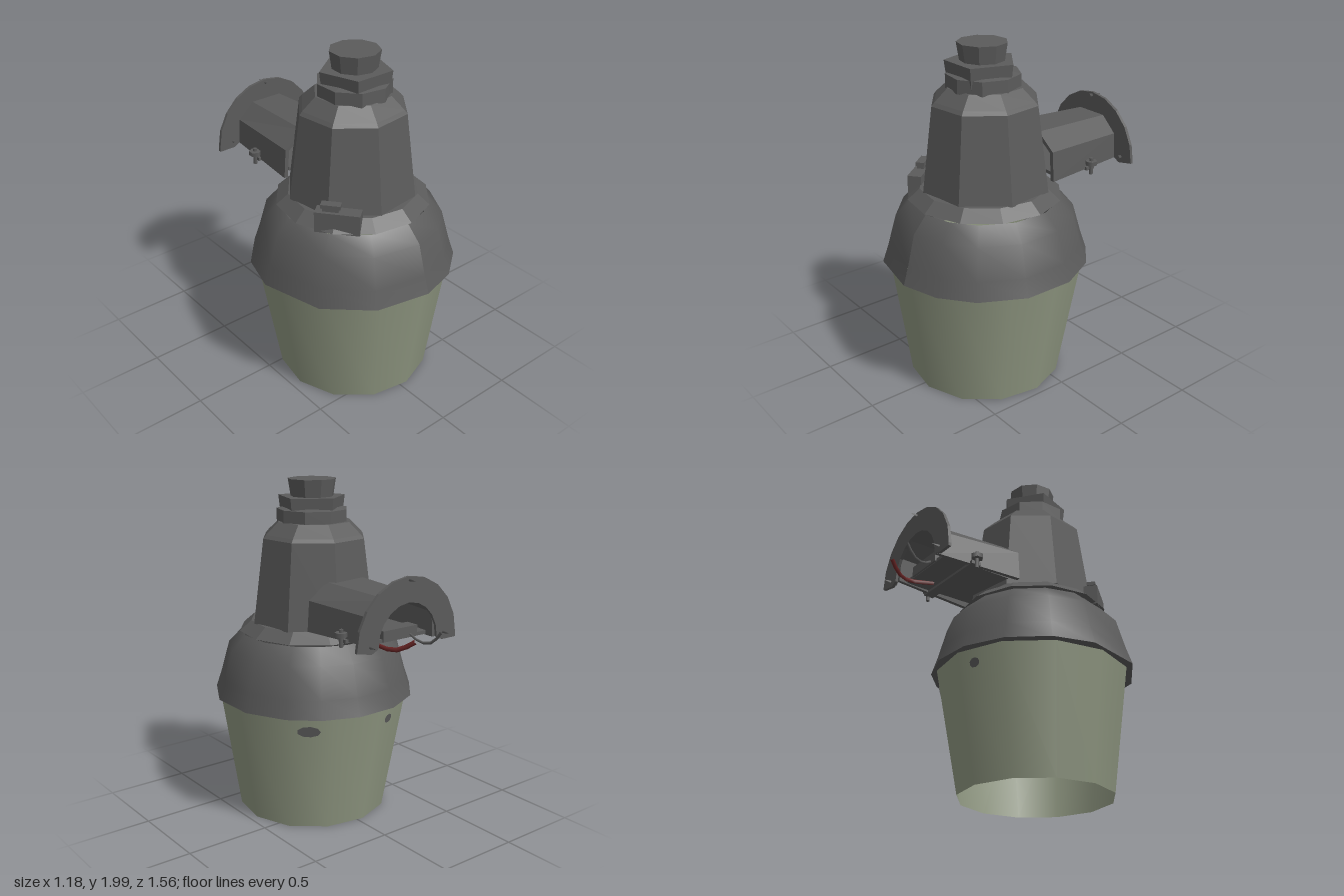
import * as THREE from 'three';

const mat = (name, color, side = THREE.FrontSide) => {
  const m = new THREE.MeshStandardMaterial({ color, side });
  m.name = name;
  return m;
};

export function createModel() {
  const metal = mat('dark grey metal', 0x5b5b5b, THREE.DoubleSide);
  const glass = mat('pale green lens', 0x8f9781, THREE.DoubleSide);
  const red = mat('red wire', 0x6a2626);
  const CZ = 0.18; // axis of the lamp body
  const root = new THREE.Group();
  root.name = 'streetLamp';

  const add = (name, geo, material, x = 0, y = 0, z = 0, parent = root) => {
    const m = new THREE.Mesh(geo, material);
    m.name = name;
    m.position.set(x, y, z);
    parent.add(m);
    return m;
  };
  const lathe = (pts, sides, start = 0) =>
    new THREE.LatheGeometry(pts.map(p => new THREE.Vector2(...p)), sides, start);
  // Turned part with hard facets; start is the angle of the first corner
  const faceted = (name, pts, sides, start, cz = CZ) => {
    const g = lathe(pts, sides, start).toNonIndexed();
    g.computeVertexNormals();
    return add(name, g, metal, 0, 0, cz);
  };
  const extrude = (shape, depth) =>
    new THREE.ExtrudeGeometry(shape, { depth, bevelEnabled: false, curveSegments: 5 });

  // Lens bowl, open at the bottom, its foot set slightly forward
  const lensGeo = lathe([[0.45, 0.01], [0.565, 0.73]], 12, 0.094);
  const lp = lensGeo.attributes.position;
  for (let i = 0; i < lp.count; i++) if (lp.getY(i) < 0.1) lp.setZ(i, lp.getZ(i) + 0.02);
  add('lens', lensGeo, glass, 0.005, 0, 0.175);

  // Dark patches on the back of the lens: angle, half width, half height
  for (const [a, w, h] of [[2.45, 0.068, 0.034], [3.43, 0.034, 0.028]]) {
    const s = add('lensPatch', new THREE.CircleGeometry(1, 9), metal,
      0.005 + Math.sin(a) * 0.54, 0.65, 0.175 + Math.cos(a) * 0.54);
    s.rotation.set(0.17, a, 0, 'YXZ');
    s.scale.set(w, h, 1);
  }

  // Housing skirt with unevenly spaced corners
  const corners = [0.08, 0.47, 0.85, 1.32, 1.81, 2.24, 2.58, 2.95, 3.37, 3.79, 4.22, 4.64, 5.28, 5.81, 6.363];
  const uneven = (name, pts) => {
    const g = lathe(pts, corners.length - 1);
    const p = g.attributes.position;
    for (let i = 0; i < p.count; i++) {
      const [r] = pts[i % pts.length];
      const a = corners[Math.floor(i / pts.length)];
      p.setX(i, r * Math.sin(a));
      p.setZ(i, r * Math.cos(a));
    }
    g.computeVertexNormals();
    add(name, g, metal, 0, 0, CZ);
  };
  uneven('skirt', [[0.6, 0.735], [0.565, 0.84], [0.515, 1.02], [0.43, 1.11]]);
  uneven('skirtUnderside', [[0.52, 0.735], [0.6, 0.735]]);

  // Collar, tower and stepped cap
  faceted('collar', [[0.42, 1.11], [0.445, 1.12], [0.375, 1.18], [0.3, 1.185]], 12, 0.1);
  faceted('tower', [[0.378, 1.175], [0.312, 1.67]], 8, Math.PI / 6, 0.17);
  faceted('shoulder', [[0.312, 1.67], [0.295, 1.69], [0.22, 1.76], [0, 1.77]], 8, Math.PI / 6, 0.17);
  faceted('capRing', [[0.21, 1.75], [0.21, 1.83], [0.15, 1.84]], 9, 0.2);
  faceted('capBase', [[0.19, 1.78], [0.205, 1.9], [0, 1.9]], 5, Math.PI, 0.19);
  faceted('capTop', [[0.125, 1.89], [0.142, 2], [0, 2]], 9, 0.1, 0.185);

  // Side latch lying on the collar
  const latch = new THREE.Group();
  latch.name = 'latch';
  latch.position.set(-0.3, 1.17, 0.415);
  latch.rotation.y = -0.89;
  root.add(latch);
  add('latchBody', new THREE.BoxGeometry(0.25, 0.12, 0.08), metal, 0, 0, 0, latch);
  add('latchNeck', new THREE.BoxGeometry(0.09, 0.03, 0.04), metal, -0.04, 0.07, 0, latch);
  add('latchHead', new THREE.BoxGeometry(0.11, 0.022, 0.05), metal, -0.04, 0.09, 0, latch);

  // Hollow mounting arm, widening towards the tower
  const outer = [[-0.21, 1.2], [-0.2, 1.35], [-0.1, 1.44], [0.1, 1.44], [0.2, 1.35], [0.21, 1.2]];
  const inner = [[0.19, 1.2], [0.18, 1.34], [0.09, 1.42], [-0.09, 1.42], [-0.18, 1.34], [-0.19, 1.2]];
  const armGeo = extrude(new THREE.Shape([...outer, ...inner].map(p => new THREE.Vector2(...p))), 0.53);
  const pos = armGeo.attributes.position;
  for (let i = 0; i < pos.count; i++) {
    const t = pos.getZ(i) / 0.53;
    pos.setX(i, pos.getX(i) * (1 + 0.24 * t));
    pos.setY(i, pos.getY(i) + (pos.getY(i) > 1.3 ? 0.015 : -0.01) * t);
  }
  armGeo.computeVertexNormals();
  add('arm', armGeo, metal, 0, 0, -0.645);
  add('armFloor', new THREE.BoxGeometry(0.4, 0.02, 0.44), metal, 0, 1.215, -0.37);

  // Horseshoe flange at the end of the arm
  const arch = new THREE.Shape();
  arch.moveTo(0.35, 1.18);
  arch.absellipse(0, 1.2, 0.35, 0.36, 0, Math.PI, false);
  arch.lineTo(-0.35, 1.18);
  arch.lineTo(-0.25, 1.18);
  arch.absellipse(0, 1.2, 0.21, 0.22, Math.PI, 0, true);
  arch.lineTo(0.25, 1.18);
  add('flange', extrude(arch, 0.018), metal, 0, 0, -0.66);

  // Small pointed studs through the flange
  for (const [x, y] of [[-0.255, 1.22], [0, 1.54], [0.265, 1.22]]) {
    const stud = add('flangeStud', new THREE.ConeGeometry(0.013, 0.09, 4), metal, x, y, -0.665);
    stud.rotation.x = -Math.PI / 2;
  }

  // Clamp strap and its bolts under the arm
  add('clampStrap', new THREE.BoxGeometry(0.5, 0.02, 0.06), metal, 0, 1.2, -0.41);
  for (const s of [-1, 1]) {
    add('clampBolt', new THREE.CylinderGeometry(0.012, 0.012, 0.1, 6), metal, s * 0.255, 1.215, -0.41);
    add('clampNut', new THREE.CylinderGeometry(0.036, 0.036, 0.025, 6), metal, s * 0.255, 1.235, -0.41);
  }

  // Terminal block and loose wires at the arm mouth
  add('terminalBlock', new THREE.BoxGeometry(0.24, 0.06, 0.08), metal, 0, 1.24, -0.56);
  const wire = (name, material, r, ...pts) => {
    const curve = new THREE.CatmullRomCurve3(pts.map(p => new THREE.Vector3(...p)));
    add(name, new THREE.TubeGeometry(curve, 6, r, 4, false), material);
  };
  wire('redWire', red, 0.013, [0.1, 1.2, -0.47], [0.13, 1.185, -0.62], [0.1, 1.19, -0.7], [0.055, 1.24, -0.775]);
  wire('darkWire', metal, 0.008, [-0.06, 1.25, -0.56], [-0.09, 1.19, -0.66], [-0.11, 1.2, -0.73], [-0.12, 1.26, -0.78]);

  return root;
}
